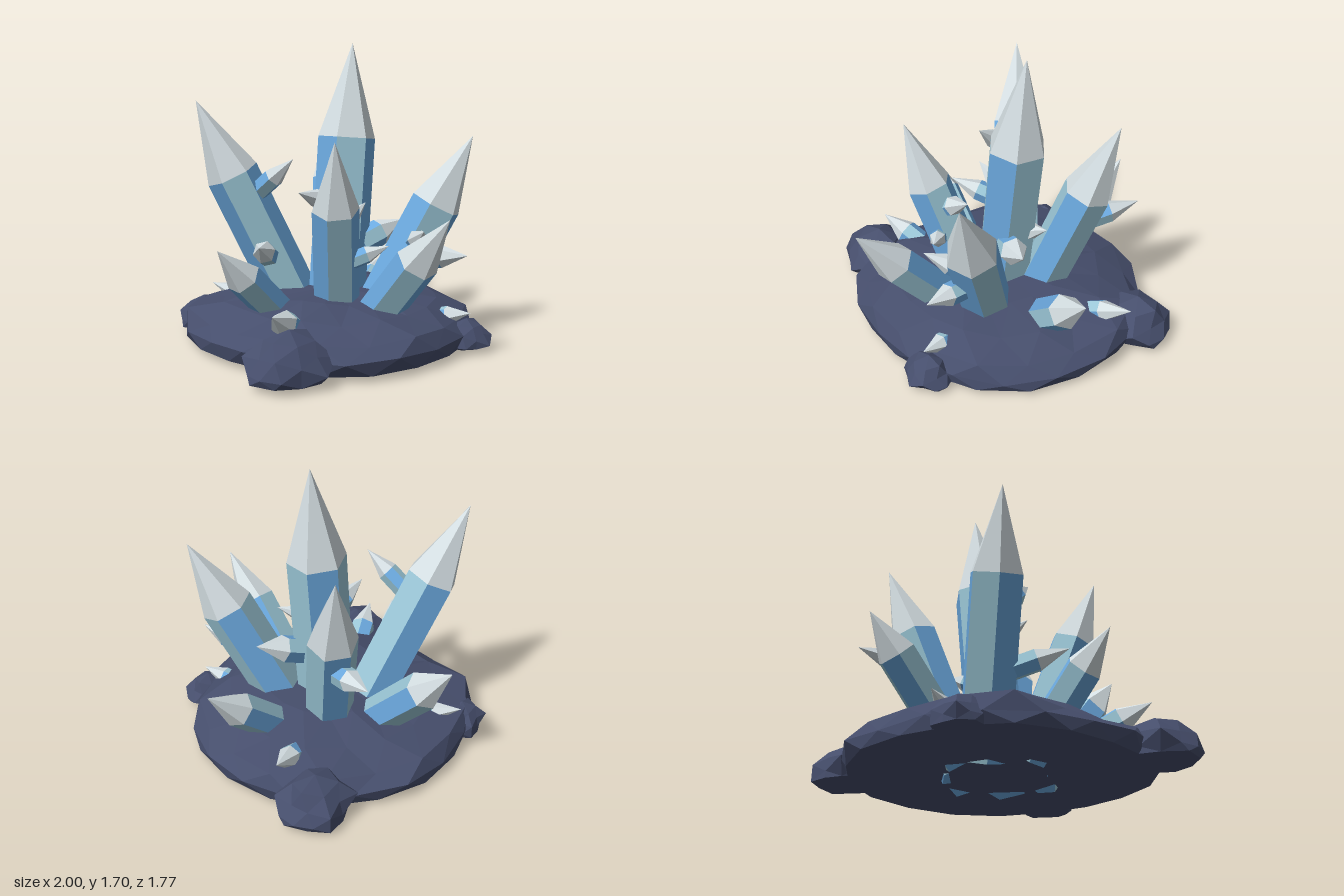
import * as THREE from 'three';

const mat = (name, color) => {
  const m = new THREE.MeshStandardMaterial({ color, flatShading: true });
  m.name = name;
  return m;
};

// Repeatable noise in -1..1 from a position
const noise = (x, y, z) => {
  const s = Math.sin(Math.round(x * 500) * 12.99 + Math.round(y * 500) * 78.23 + Math.round(z * 500) * 37.72) * 4375.85;
  return (s - Math.floor(s)) * 2 - 1;
};

export function createModel() {
  const model = new THREE.Group();
  model.name = 'crystalCluster';
  const rock = mat('slate rock', 0x464e6c);
  const pale = mat('pale blue', 0x9cc8d8);
  const blue = mat('sky blue', 0x6caae0);
  const frost = mat('frosted tip', 0xd4dee2);
  const floor = 0.03;

  // Rock slab: staggered rings that follow an uneven outline
  const outline = [0.88, 0.87, 0.87, 0.81, 0.79, 0.79, 0.81, 0.85, 0.8, 0.78, 0.78, 0.84, 0.87, 0.83, 0.87, 0.87, 0.87, 0.9];
  const n = outline.length;
  const rings = [[0, floor], [0.98, floor], [1, 0.1], [0.94, 0.18], [0.74, 0.25], [0.46, 0.295], [0, 0.305]];
  const pos = [], index = [];
  rings.forEach(([scale, y], k) => {
    for (let i = 0; i < n; i++) {
      const shift = (k % 2) / 2;
      const a = ((i + shift) / n) * Math.PI * 2;
      const r = THREE.MathUtils.lerp(outline[i], outline[(i + 1) % n], shift) * scale;
      const wobble = k > 1 && k < 6 ? noise(i, k, 3) : 0;
      pos.push(Math.cos(a) * r * (1 + wobble * 0.035), y + wobble * 0.02, Math.sin(a) * r * (1 + wobble * 0.035));
      if (k === 0) continue;
      const j = (i + 1) % n, lo = (k - 1) * n, up = k * n;
      if (k % 2) index.push(lo + i, up + i, lo + j, lo + j, up + i, up + j);
      else index.push(lo + i, up + i, up + j, lo + i, up + j, lo + j);
    }
  });
  const slabGeo = new THREE.BufferGeometry();
  slabGeo.setAttribute('position', new THREE.Float32BufferAttribute(pos, 3));
  slabGeo.setIndex(index);
  slabGeo.computeVertexNormals();
  const slab = new THREE.Mesh(slabGeo, rock);
  slab.name = 'rockBase';
  model.add(slab);

  // Jagged boulders around the rim, broad and flat underneath
  const boulder = (name, c, size) => {
    const g = new THREE.IcosahedronGeometry(1, 1);
    const p = g.attributes.position;
    for (let i = 0; i < p.count; i++) {
      const x = p.getX(i), y = p.getY(i), z = p.getZ(i);
      const f = 1 + noise(x, y, z) * 0.17;
      p.setXYZ(i,
        THREE.MathUtils.clamp(c[0] + x * f * size[0], -1, 1),
        Math.max(floor, c[1] + y * f * size[1]),
        c[2] + z * f * size[2]);
    }
    g.computeVertexNormals();
    const m = new THREE.Mesh(g, rock);
    m.name = name;
    model.add(m);
  };
  boulder('leftRimBoulder', [0.79, 0.07, -0.4], [0.22, 0.17, 0.2]);
  boulder('rightRimBoulder', [-0.76, 0.07, 0.28], [0.24, 0.18, 0.21]);
  boulder('backBoulder', [-0.28, 0.07, -0.74], [0.15, 0.12, 0.125]);
  boulder('frontBoulder', [0.26, 0.04, 0.74], [0.15, 0.12, 0.13]);

  // A crystal: six-sided prism with alternating faces and a pointed cap
  const up = new THREE.Vector3(0, 1, 0);
  const crystal = (name, base, tip, r, cap, spin = 0) => {
    const a = new THREE.Vector3(...base), axis = new THREE.Vector3(...tip).sub(a);
    const h = axis.length() - cap;
    const start = THREE.MathUtils.degToRad(45 + spin);
    const g = new THREE.Group();
    g.name = name;
    const prism = new THREE.CylinderGeometry(r, r, h, 6, 1, false, start).translate(0, h / 2, 0);
    prism.clearGroups();
    for (let i = 0; i < 6; i++) prism.addGroup(i * 6, 6, i % 2);
    prism.addGroup(36, 36, 1);
    const body = new THREE.Mesh(prism, [pale, blue]);
    body.name = 'prism';
    const point = new THREE.Mesh(
      new THREE.ConeGeometry(r, cap, 6, 1, true, start).translate(0, h + cap / 2, 0), frost);
    point.name = 'tip';
    g.add(body, point);
    g.position.copy(a);
    g.quaternion.setFromUnitVectors(up, axis.normalize());
    model.add(g);
  };

  // Tall crystals
  crystal('centreCrystal', [0.05, 0.06, -0.01], [0.23, 1.7, -0.015], 0.168, 0.545);
  crystal('backRightCrystal', [0.0, 0.07, -0.19], [-0.45, 1.38, -0.62], 0.152, 0.47);
  crystal('frontRightCrystal', [-0.07, 0.07, 0.09], [-0.41, 1.19, 0.31], 0.13, 0.4);
  crystal('backLeftCrystal', [0.2, 0.06, -0.11], [0.58, 1.3, -0.39], 0.14, 0.46);
  crystal('frontLeftCrystal', [0.15, 0.07, 0.17], [0.45, 1.18, 0.66], 0.15, 0.44);

  // Leaning outer crystals
  crystal('frontCrystal', [-0.04, 0.075, 0.24], [-0.17, 0.805, 0.86], 0.12, 0.34, -15);
  crystal('backCrystal', [0.1, 0.075, -0.25], [0.21, 0.735, -0.88], 0.11, 0.26, 60);
  crystal('rightCrystal', [-0.22, 0.075, -0.09], [-0.79, 0.625, -0.17], 0.1, 0.25);
  crystal('leftCrystal', [0.33, 0.075, 0.04], [0.905, 0.59, 0.2], 0.1, 0.26, 30);

  // Low crystals lying on the rock
  crystal('lowRightCrystal', [-0.45, 0.16, 0.1], [-0.8, 0.33, 0.2], 0.075, 0.18);
  crystal('lowLeftCrystal', [0.55, 0.16, -0.15], [0.885, 0.31, -0.22], 0.065, 0.19);
  crystal('lowBackCrystal', [-0.09, 0.18, -0.56], [-0.15, 0.25, -0.79], 0.055, 0.16);
  crystal('lowFrontCrystal', [0.22, 0.16, 0.55], [0.25, 0.21, 0.77], 0.055, 0.14);

  // Small shoots growing from the tall crystals: base, tip, radius, cap, spin
  const shoots = [
    [[0.25, 0.49, 0.45], [0.26, 0.53, 0.74], 0.065, 0.16, 60],
    [[0.24, 0.55, 0.4], [0.05, 0.68, 0.58], 0.06, 0.16],
    [[-0.22, 0.67, 0.19], [0.02, 0.815, 0.22], 0.06, 0.17],
    [[-0.18, 0.52, 0.26], [-0.05, 0.6, 0.42], 0.05, 0.13],
    [[0.18, 0.54, 0.07], [0.45, 0.66, 0.21], 0.08, 0.18],
    [[0.04, 0.79, -0.05], [-0.21, 0.87, -0.08], 0.06, 0.17],
    [[-0.25, 0.86, -0.34], [-0.23, 1.06, -0.1], 0.06, 0.17],
    [[-0.2, 0.48, -0.3], [-0.51, 0.6, -0.12], 0.065, 0.18],
    [[0.43, 0.67, -0.3], [0.585, 0.74, -0.59], 0.065, 0.18],
    [[0.17, 0.58, -0.05], [0.35, 0.66, -0.08], 0.055, 0.12],
  ];
  shoots.forEach((s, i) => crystal('shoot' + (i + 1), ...s));

  return model;
}
